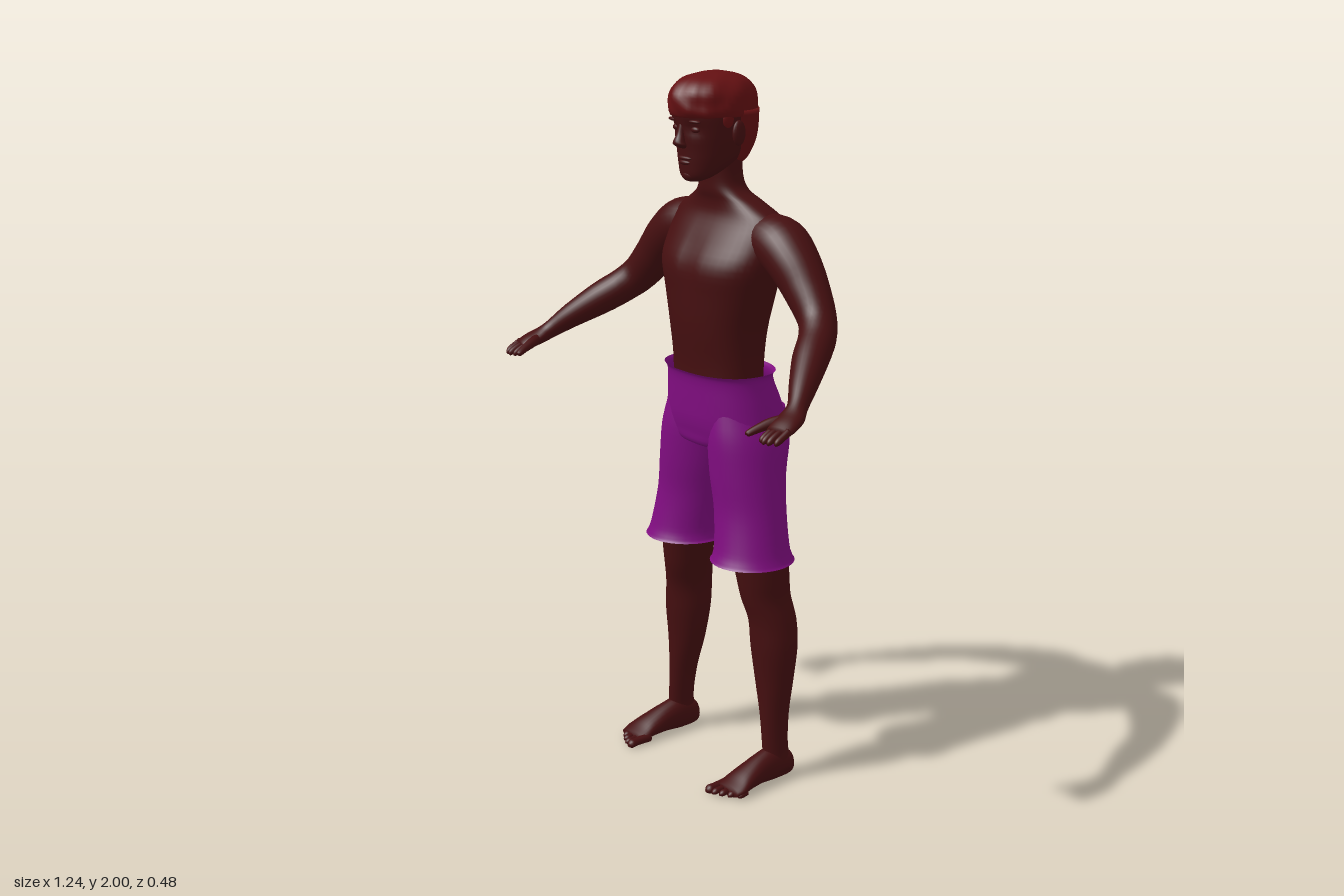
import * as THREE from 'three';

const skin = new THREE.MeshStandardMaterial({ color: 0x450f10 });
skin.name = 'dark skin';
const hair = new THREE.MeshStandardMaterial({ color: 0x641012 });
hair.name = 'red brown hair';
const cloth = new THREE.MeshStandardMaterial({ color: 0x800d80, side: THREE.DoubleSide });
cloth.name = 'purple cloth';

const X = new THREE.Vector3(1, 0, 0), Y = new THREE.Vector3(0, 1, 0), BACK = new THREE.Vector3(0, 0, -1);
const UPRIGHT = [X, BACK], FORWARD = [X, Y];

// Smooth loft through rows [x, y, z, radiusU, radiusV]; without axes the rings follow the path.
function loft(rows, { axes, seg = 28, steps = 4, power = 1, caps = [true, true], deform } = {}) {
  const path = new THREE.CatmullRomCurve3(rows.map(r => new THREE.Vector3(r[0], r[1], r[2])));
  const size = new THREE.CatmullRomCurve3(rows.map(r => new THREE.Vector3(r[3], r[4], 0)), false, 'catmullrom');
  path.curveType = 'catmullrom';
  const n = (rows.length - 1) * steps, pos = [], idx = [];
  const round = v => Math.sign(v) * Math.abs(v) ** power;
  const put = v => { if (deform) deform(v); pos.push(v.x, v.y, v.z); };
  for (let i = 0; i <= n; i++) {
    const c = path.getPoint(i / n), s = size.getPoint(i / n);
    let [U, V] = axes || [];
    if (!axes) {
      const T = path.getTangent(i / n);
      U = new THREE.Vector3().crossVectors(Y, T).normalize();
      V = new THREE.Vector3().crossVectors(T, U);
    }
    for (let j = 0; j < seg; j++) {
      const t = j / seg * Math.PI * 2;
      put(c.clone().addScaledVector(U, s.x * round(Math.cos(t))).addScaledVector(V, s.y * round(Math.sin(t))));
      if (i < n) {
        const a = i * seg + j, b = i * seg + (j + 1) % seg;
        idx.push(a, b, a + seg, b, b + seg, a + seg);
      }
    }
  }
  [0, 1].forEach(end => {
    if (!caps[end]) return;
    const k = pos.length / 3, base = end * n * seg;
    put(path.getPoint(end));
    for (let j = 0; j < seg; j++) {
      const a = base + j, b = base + (j + 1) % seg;
      if (end) idx.push(a, b, k); else idx.push(b, a, k);
    }
  });
  const g = new THREE.BufferGeometry();
  g.setAttribute('position', new THREE.Float32BufferAttribute(pos, 3));
  g.setIndex(idx);
  g.computeVertexNormals();
  return g;
}

function ball(x, y, z, a, b, c) {
  return new THREE.SphereGeometry(1, 18, 12).scale(a, b, c).translate(x, y, z);
}

function mirror(geometry) {
  const g = geometry.clone().scale(-1, 1, 1), a = g.index.array;
  for (let i = 0; i < a.length; i += 3) [a[i], a[i + 1]] = [a[i + 1], a[i]];
  g.computeVertexNormals();
  return g;
}

export function createModel() {
  const model = new THREE.Group();
  model.name = 'man in shorts';
  const add = (name, geometry, material = skin) => {
    const m = new THREE.Mesh(geometry, material);
    m.name = name;
    model.add(m);
  };
  const pair = (name, geometry, material) => {
    add(name + 'Left', geometry, material);
    add(name + 'Right', mirror(geometry), material);
  };
  const bump = (v, mid, width) => Math.exp(-(((v - mid) / width) ** 2));

  // Torso and neck, with spine and breastbone grooves
  add('torso', loft([
    [0, 1.1, -.085, .15, .1], [0, 1.2, -.085, .148, .1], [0, 1.3, -.085, .155, .111],
    [0, 1.4, -.09, .18, .12], [0, 1.48, -.095, .204, .124], [0, 1.55, -.115, .212, .107],
    [0, 1.61, -.125, .2, .08], [0, 1.65, -.115, .135, .064], [0, 1.68, -.1, .082, .057],
    [0, 1.72, -.092, .066, .052], [0, 1.8, -.085, .066, .055]
  ], {
    axes: UPRIGHT, seg: 48, power: .88, deform: v => {
      if (v.z < -.1) v.z += .014 * bump(v.x, 0, .03) * bump(v.y, 1.4, .2);
      else v.z -= .007 * bump(v.x, 0, .018) * bump(v.y, 1.48, .08);
    }
  }));

  // Arms, thumbs and fingers
  pair('arm', loft([
    [.14, 1.56, -.13, .07, .07], [.21, 1.55, -.13, .078, .076], [.27, 1.512, -.125, .072, .07],
    [.33, 1.45, -.12, .062, .063], [.39, 1.385, -.105, .052, .054], [.43, 1.345, -.072, .05, .05],
    [.47, 1.305, -.015, .048, .047], [.52, 1.255, .052, .037, .036], [.555, 1.215, .1, .027, .026],
    [.57, 1.196, .13, .035, .022], [.58, 1.182, .165, .039, .019], [.587, 1.17, .192, .034, .014]
  ]));
  pair('thumb', loft([
    [.565, 1.195, .135, .014, .013], [.545, 1.186, .175, .015, .014], [.533, 1.174, .212, .012, .011],
    [.525, 1.164, .236, .009, .008], [.524, 1.162, .24, .003, .003]
  ], { seg: 12 }));
  for (let i = 0; i < 4; i++) {
    const x = .562 + i * .016, reach = [0, .006, .003, -.008][i];
    pair('finger' + (i + 1), loft([
      [x, 1.177, .175, .01, .011], [x + .002, 1.168, .2 + reach, .0095, .01],
      [x + .003, 1.157, .22 + reach, .0085, .009], [x + .003, 1.15, .228 + reach, .004, .004]
    ], { seg: 10 }));
  }

  // Legs, feet and toes
  const grounded = v => { v.y = Math.max(v.y, .002); };
  pair('leg', loft([
    [.225, .03, -.13, .034, .045], [.222, .1, -.122, .03, .041], [.214, .2, -.124, .037, .045],
    [.205, .3, -.13, .055, .055], [.2, .4, -.132, .068, .066], [.193, .48, -.13, .065, .07],
    [.178, .55, -.117, .064, .075], [.17, .62, -.11, .072, .079], [.15, .75, -.1, .085, .085],
    [.12, .95, -.1, .085, .085]
  ], { axes: UPRIGHT }));
  pair('foot', loft([
    [.222, .036, -.181, .012, .018], [.222, .042, -.165, .031, .038], [.222, .05, -.11, .036, .05],
    [.224, .046, -.06, .038, .043], [.228, .033, 0, .046, .03], [.23, .022, .035, .051, .02],
    [.229, .016, .06, .046, .013]
  ], { axes: FORWARD, deform: grounded }));
  for (let i = 0; i < 5; i++) {
    const x = .188 + i * .021, r = i ? .01 : .014, tip = .101 - .003 * i - .0022 * i * i;
    pair('toe' + (i + 1), loft([
      [x, .017, .025, r, r], [x, .015, tip - .03, r * .85, r * .85],
      [x, .013, tip - .01, r, r * .9], [x, .011, tip, r * .4, r * .4]
    ], { axes: FORWARD, seg: 12, deform: grounded }));
  }

  // Shorts: seat with a rear crease, and two open legs with flared hems
  add('shortsSeat', loft([
    [0, .958, -.1, .05, .05], [0, .975, -.1, .14, .1], [0, 1.01, -.11, .194, .121],
    [0, 1.05, -.112, .19, .131], [0, 1.1, -.105, .182, .127], [0, 1.15, -.094, .172, .118],
    [0, 1.175, -.09, .17, .118], [0, 1.187, -.09, .177, .125]
  ], {
    axes: UPRIGHT, seg: 56, power: .85, caps: [true, false], deform: v => {
      if (v.z < -.1) v.z += .028 * bump(v.x, 0, .026) * bump(v.y, 1.03, .07);
    }
  }), cloth);
  pair('shortsLeg', loft([
    [.15, .655, -.09, .118, .12], [.15, .665, -.09, .112, .114], [.146, .7, -.091, .106, .105],
    [.13, .8, -.097, .104, .1], [.115, .9, -.1, .105, .109], [.105, 1, -.111, .101, .123],
    [.095, 1.08, -.113, .085, .116]
  ], { axes: UPRIGHT, seg: 36, caps: [false, false] }), cloth);

  // Head and face
  add('head', loft([
    [0, 1.71, 0, .02, .018], [0, 1.725, -.012, .05, .043], [0, 1.76, -.044, .074, .08],
    [0, 1.8, -.06, .088, .099], [0, 1.85, -.063, .097, .109], [0, 1.9, -.064, .099, .117],
    [0, 1.95, -.065, .085, .102], [0, 1.975, -.065, .05, .065]
  ], {
    axes: UPRIGHT, seg: 48, deform: v => {
      // eye sockets
      if (v.z > -.02) v.z -= .009 * bump(Math.abs(v.x), .04, .022) * bump(v.y, 1.853, .016);
    }
  }));
  add('nose', loft([
    [0, 1.801, .036, .011, .01], [0, 1.81, .047, .021, .016], [0, 1.82, .05, .017, .016],
    [0, 1.84, .043, .011, .013], [0, 1.868, .036, .009, .012]
  ], { axes: UPRIGHT, seg: 16 }));
  add('upperLip', ball(0, 1.774, .03, .029, .007, .012));
  add('lowerLip', ball(0, 1.762, .028, .025, .008, .013));
  add('chin', ball(0, 1.728, .015, .028, .018, .019));
  pair('eye', ball(.039, 1.852, .026, .017, .009, .01));
  pair('brow', ball(.04, 1.874, .032, .027, .006, .012));
  pair('ear', ball(.1, 1.842, -.073, .011, .034, .021));

  // Short hair: crown with a fringe, and a tapered back
  add('hairCrown', loft([
    [0, 1.882, -.066, .096, .115], [0, 1.888, -.066, .103, .126], [0, 1.91, -.064, .106, .13],
    [0, 1.945, -.063, .102, .125], [0, 1.975, -.065, .08, .1], [0, 1.992, -.067, .046, .06],
    [0, 2, -.068, .006, .008]
  ], {
    axes: UPRIGHT, seg: 48, deform: v => {
      const w = .003 * Math.sin(v.x * 95 + v.y * 40) * Math.sin(v.z * 70 + v.y * 60);
      v.x += w * Math.sign(v.x);
      v.z += w;
    }
  }), hair);
  add('hairBack', loft([
    [0, 1.752, -.108, .05, .036], [0, 1.77, -.109, .07, .052], [0, 1.81, -.11, .089, .07],
    [0, 1.85, -.106, .1, .082], [0, 1.9, -.1, .103, .092]
  ], { axes: UPRIGHT, seg: 36 }), hair);
  pair('sideburn', ball(.087, 1.88, -.045, .014, .03, .024), hair);

  return model;
}
